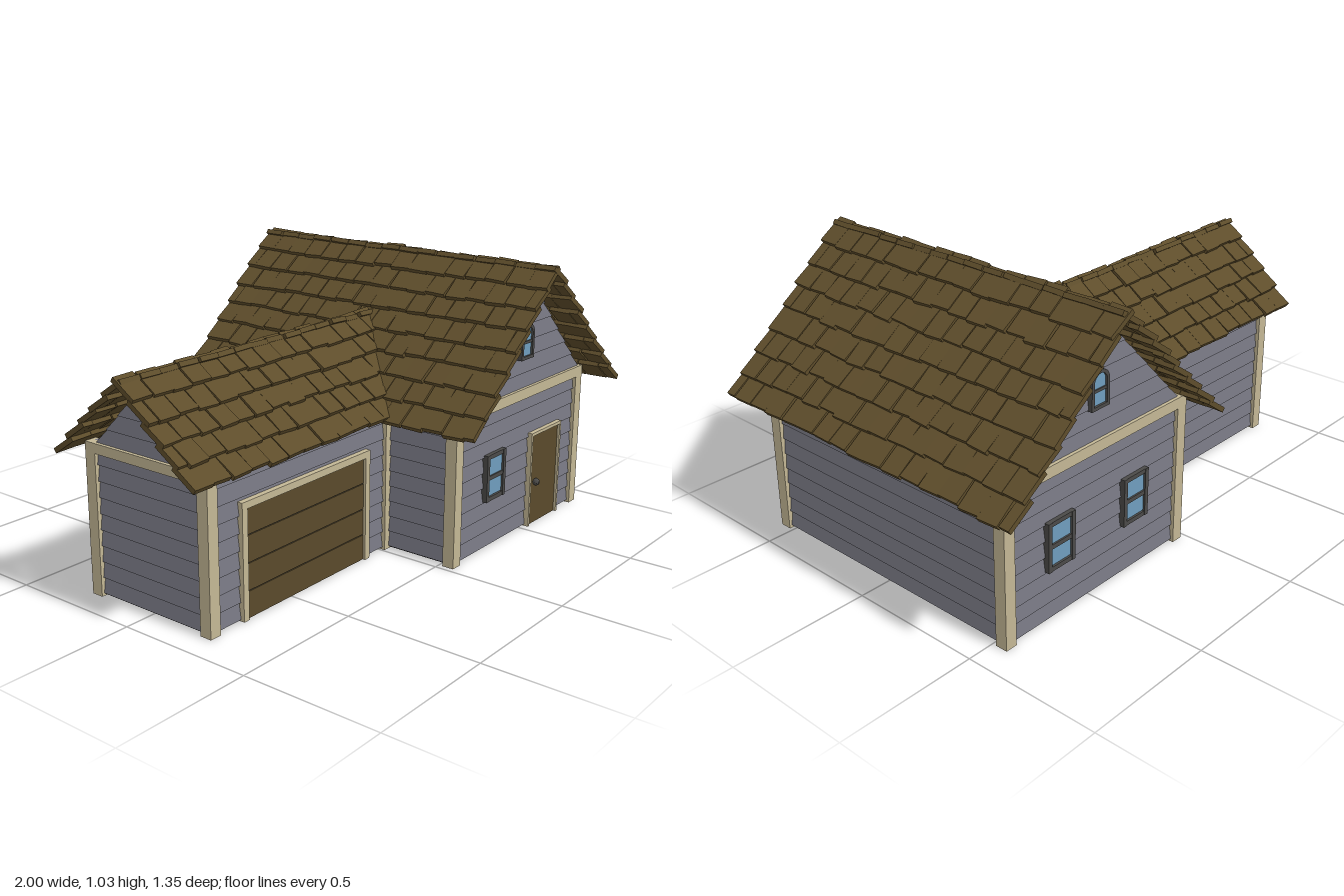
import * as THREE from 'three';
import { mergeGeometries } from 'three/addons/utils/BufferGeometryUtils.js';

const mat = (color) => new THREE.MeshStandardMaterial({ color, flatShading: true });
const WALL = mat(0x787883), TRIM = mat(0xc3b795), ROOF = mat(0x5e4d2b), DOOR = mat(0x5a4a2b);
const FRAME = mat(0x4b4a48), GLASS = mat(0x6f9dbd), FLOOR = mat(0x3c3c3f);

let seed = 7;
const rand = (a) => {
  seed = (seed * 16807) % 2147483647;
  return (seed / 2147483647 * 2 - 1) * a;
};

function add(parent, name, geometry, material, x = 0, y = 0, z = 0) {
  const mesh = new THREE.Mesh(geometry, material);
  mesh.name = name;
  mesh.position.set(x, y, z);
  parent.add(mesh);
  return mesh;
}

// Box given by its extents
function block(parent, name, material, x0, x1, y0, y1, z0, z1) {
  return add(parent, name, new THREE.BoxGeometry(x1 - x0, y1 - y0, z1 - z0), material,
    (x0 + x1) / 2, (y0 + y1) / 2, (z0 + z1) / 2);
}

// Lapped boards facing +z; each board leans out at its lower edge
function siding(parent, name, bottomWidth, topWidth, y0, y1, count) {
  const boards = [], h = (y1 - y0) / count;
  for (let i = 0; i < count; i++) {
    const g = new THREE.BoxGeometry(1, h, 0.02), p = g.attributes.position;
    for (let v = 0; v < p.count; v++) {
      const low = p.getY(v) < 0;
      const t = (i + (low ? 0 : 1)) / count;
      p.setX(v, p.getX(v) * THREE.MathUtils.lerp(bottomWidth, topWidth, t));
      p.setZ(v, p.getZ(v) > 0 ? (low ? 0.008 : 0) : -0.02);
    }
    g.translate(0, y0 + h * (i + 0.5), 0);
    boards.push(g);
  }
  const g = mergeGeometries(boards);
  g.computeVertexNormals();
  return add(parent, name, g, WALL);
}

function place(obj, x, z, turn) {
  obj.position.set(x, 0, z);
  obj.rotation.y = turn;
}

// One roof side of overlapping tiles, falling towards local +x from a ridge along z
function roofSide(parent, name, { ridge, angle, rows, pitch, start, end, dir = 1 }) {
  const tiles = [], thick = 0.018, lap = 0.17;
  for (let r = 0; r < rows; r++) {
    const s = (r + 0.5) * pitch - 0.004;
    const d = s * Math.cos(angle), stop = end(d);
    const n = Math.round((stop - start) / 0.084), w = (stop - start) / n;
    for (let i = 0; i <= n; i++) {
      // Alternate courses are shifted by half a tile
      const half = r % 2 ? 0.5 : 0;
      const a = Math.max(start, start + (i - half) * w);
      const b = Math.min(stop, start + (i + 1 - half) * w);
      if (b - a < 0.01) continue;
      const g = new THREE.BoxGeometry(pitch * 1.25, thick, b - a - 0.002);
      g.rotateY(rand(0.05));
      g.rotateX(rand(0.03));
      g.translate(rand(0.006), rand(0.002), 0);
      g.rotateZ(-angle + lap);
      g.translate(d, ridge - s * Math.sin(angle), dir * ((a + b) / 2 + rand(0.004)));
      tiles.push(g);
    }
  }
  return add(parent, name, mergeGeometries(tiles), ROOF);
}

// Two-pane sash window facing +z, centred at the origin
function sashWindow() {
  const g = new THREE.Group();
  g.name = 'sashWindow';
  block(g, 'windowBack', FRAME, -0.05, 0.05, -0.08, 0.08, -0.01, 0.004);
  for (const s of [-1, 1]) {
    block(g, 'windowSide', FRAME, s * 0.054 - 0.008, s * 0.054 + 0.008, -0.088, 0.088, -0.01, 0.016);
    block(g, 'windowPane', GLASS, -0.046, 0.046, s * 0.039 - 0.031, s * 0.039 + 0.031, 0, 0.008);
  }
  for (const y of [-0.08, 0, 0.08]) block(g, 'windowRail', FRAME, -0.06, 0.06, y - 0.008, y + 0.008, -0.01, 0.014);
  return g;
}

function archShape(r, bottom, Type) {
  const s = new Type();
  s.moveTo(-r, bottom);
  s.lineTo(r, bottom);
  s.absarc(0, 0, r, 0, Math.PI, false);
  s.closePath();
  return s;
}

// Round-headed window facing +z, with its arch centre at the origin
function archWindow() {
  const g = new THREE.Group();
  g.name = 'archWindow';
  const outer = archShape(0.042, -0.09, THREE.Shape);
  outer.holes.push(archShape(0.03, -0.078, THREE.Path));
  const frame = { depth: 0.024, bevelEnabled: false, curveSegments: 8 };
  add(g, 'archFrame', new THREE.ExtrudeGeometry(outer, frame), FRAME, 0, 0, -0.008);
  add(g, 'archPane', new THREE.ExtrudeGeometry(archShape(0.032, -0.08, THREE.Shape), { ...frame, depth: 0.016 }),
    GLASS, 0, 0, -0.008);
  block(g, 'archRail', FRAME, -0.032, 0.032, -0.032, -0.022, 0, 0.013);
  return g;
}

function cornerPosts(parent, xs, zs, top) {
  for (const x of xs) for (const z of zs)
    block(parent, 'cornerPost', TRIM, x - 0.0225, x + 0.0225, 0, top, z - 0.0225, z + 0.0225);
}

export function createModel() {
  const model = new THREE.Group();
  model.name = 'house';

  // Main house
  const house = new THREE.Group();
  house.name = 'mainHouse';
  model.add(house);
  block(house, 'floor', FLOOR, 0.035, 0.885, 0.006, 0.02, -0.54, 0.54);
  cornerPosts(house, [0.0425, 0.8775], [-0.5375, 0.5375], 0.56);
  for (const s of [1, -1]) {
    const turn = s > 0 ? 0 : Math.PI;
    place(siding(house, 'endWall', 0.82, 0.82, 0.01, 0.53, 9), 0.46, s * 0.542, turn);
    place(siding(house, 'gableWall', 0.84, 0.03, 0.555, 0.975, 7), 0.47, s * 0.542, turn);
    place(siding(house, 'sideWall', 1.06, 1.06, 0.01, 0.53, 9), 0.46 + s * 0.422, 0, s * Math.PI / 2);
    block(house, 'endBeam', TRIM, 0.02, 0.9, 0.52, 0.56, s * 0.5375 - 0.024, s * 0.5375 + 0.024);
    const sx = 0.46 + s * 0.4175;
    block(house, 'sideBeam', TRIM, sx - 0.0225, sx + 0.0225, 0.515, 0.55, -0.54, 0.54);
    const arch = archWindow();
    arch.position.set(0.47, 0.76, s * 0.548);
    arch.rotation.y = turn;
    house.add(arch);
  }
  for (const [x, s] of [[0.28, 1], [0.285, -1], [0.65, -1]]) {
    const w = sashWindow();
    w.position.set(x, 0.277, s * 0.55);
    w.rotation.y = s > 0 ? 0 : Math.PI;
    house.add(w);
  }

  // Front door
  block(house, 'frontDoor', DOOR, 0.535, 0.735, 0.002, 0.362, 0.5, 0.556);
  block(house, 'doorTrimTop', TRIM, 0.525, 0.745, 0.36, 0.372, 0.53, 0.566);
  for (const x of [0.525, 0.735]) block(house, 'doorTrimSide', TRIM, x, x + 0.01, 0.002, 0.372, 0.53, 0.566);
  add(house, 'doorKnob', new THREE.SphereGeometry(0.014, 10, 8), FRAME, 0.572, 0.17, 0.566);

  // Garage wing
  const garage = new THREE.Group();
  garage.name = 'garageWing';
  model.add(garage);
  block(garage, 'garageFloor', FLOOR, -0.885, 0.02, 0.006, 0.02, -0.25, 0.25);
  cornerPosts(garage, [-0.8775, 0.03], [-0.25, 0.25], 0.54);
  for (const s of [1, -1]) {
    const wall = siding(garage, 'garageSideWall', 0.9, 0.9, 0.01, 0.54, 9);
    place(wall, -0.425, s * 0.254, s > 0 ? 0 : Math.PI);
  }
  place(siding(garage, 'garageEndWall', 0.49, 0.49, 0.01, 0.52, 9), -0.882, 0, -Math.PI / 2);
  place(siding(garage, 'garageGable', 0.47, 0.02, 0.535, 0.765, 4), -0.882, 0, -Math.PI / 2);
  block(garage, 'garageBeam', TRIM, -0.902, -0.857, 0.505, 0.54, -0.26, 0.26);

  // Garage door with four panels
  for (let i = 0; i < 4; i++) {
    const y = 0.004 + i * 0.096;
    block(garage, 'garageDoorPanel', DOOR, -0.725, -0.115, y, y + 0.093, 0.24, 0.266);
  }
  block(garage, 'garageDoorBack', FRAME, -0.725, -0.115, 0.004, 0.385, 0.235, 0.263);
  block(garage, 'garageTrimTop', TRIM, -0.75, -0.09, 0.385, 0.41, 0.24, 0.276);
  for (const x of [-0.75, -0.115]) block(garage, 'garageTrimSide', TRIM, x, x + 0.025, 0.004, 0.385, 0.24, 0.276);

  // Tiled roofs; the garage courses stop just inside the valley
  for (const s of [1, -1]) {
    const main = roofSide(model, 'mainRoof', {
      ridge: 1.012, angle: Math.PI / 4, rows: 8, pitch: 0.0895, start: -0.67, end: () => 0.67,
    });
    place(main, 0.47, 0, s > 0 ? 0 : Math.PI);
    const wing = roofSide(model, 'garageRoof', {
      ridge: 0.805, angle: 0.76, rows: 5, pitch: 0.083, start: -0.995, end: (d) => 0.29 - d, dir: -s,
    });
    place(wing, 0, 0, -s * Math.PI / 2);
  }
  return model;
}
